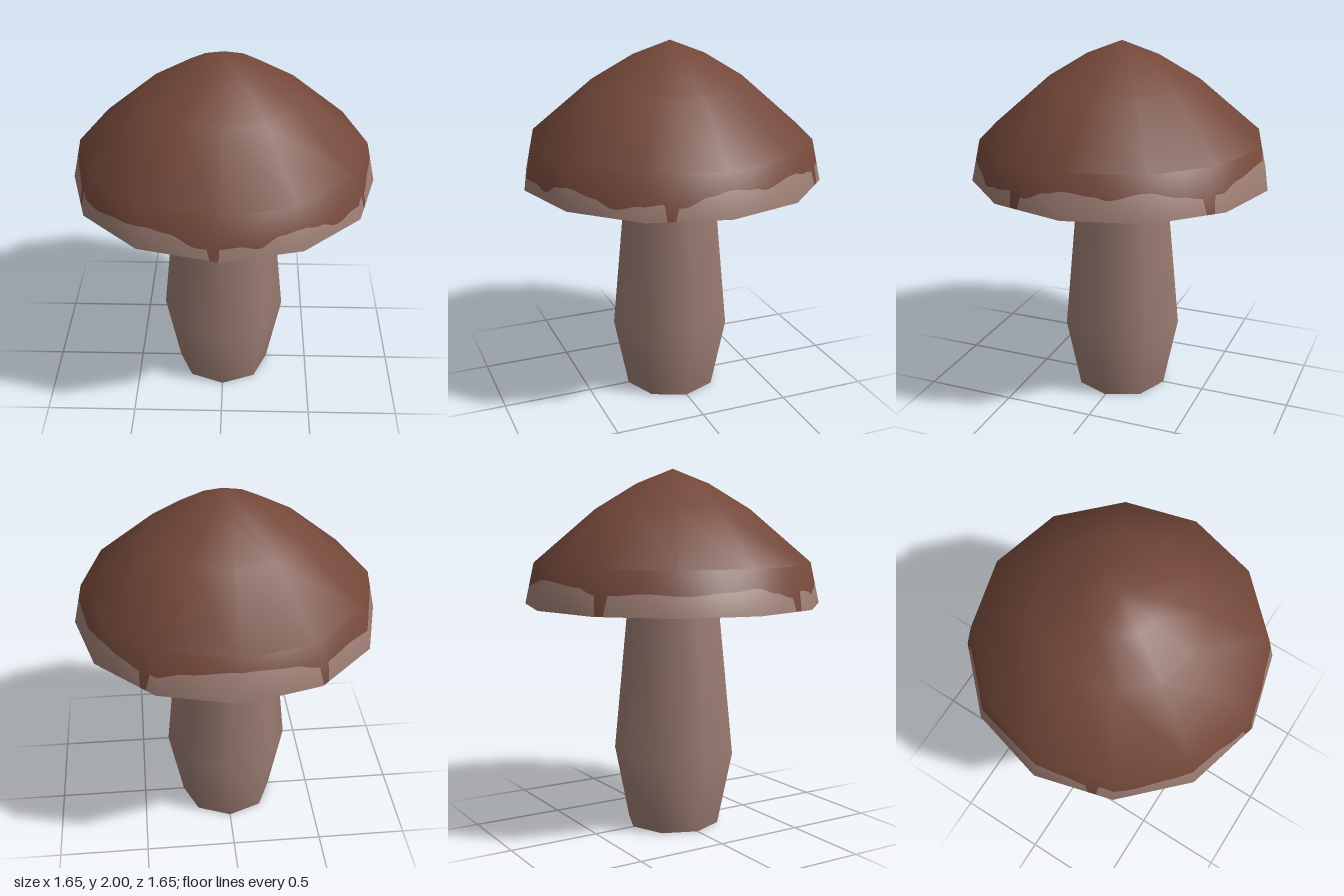
import * as THREE from 'three';

const SIDES = 12;
// cap outline from tip to rim: [radius, height]
const PROFILE = [[0, 2], [0.2, 1.92], [0.43, 1.78], [0.775, 1.485], [0.825, 1.257]];
// lower edge of the brown skin: [degrees from the front towards +x, height]
const EDGE = [
  [0, 1.32], [7, 1.32], [14, 1.30], [22, 1.35], [30, 1.37], [39, 1.34], [48, 1.30], [58, 1.33],
  [66, 1.34], [73, 1.32], [83, 1.37], [90, 1.395], [101, 1.375], [106, 1.36], [120, 1.40],
  [133, 1.36], [141, 1.34], [149, 1.35], [160, 1.38], [180, 1.415], [200, 1.39], [209, 1.36],
  [217, 1.36], [228, 1.37], [245, 1.36], [260, 1.375], [270, 1.39], [280, 1.36], [289, 1.33],
  [296, 1.36], [307, 1.33], [321, 1.35], [332, 1.375], [341, 1.36], [352, 1.31], [360, 1.32],
];
const DRIPS = [69, 144, 212, 292, 358];
const DRIP_HALF = 1.8;

// outline normals, averaged where two segments meet
const NORMALS = PROFILE.map((p, i) => {
  if (i === 0) return [0, 1];
  const n = new THREE.Vector2();
  for (const j of [i - 1, i]) {
    if (j + 1 >= PROFILE.length) continue;
    const [r0, y0] = PROFILE[j], [r1, y1] = PROFILE[j + 1];
    n.add(new THREE.Vector2(y0 - y1, r1 - r0).normalize());
  }
  n.normalize();
  return [n.x, n.y];
});

// interpolate an outline table at row s and angle deg, along the flat sides
function sample(table, s, deg) {
  const i = Math.min(Math.floor(s), table.length - 2), f = s - i;
  const r = THREE.MathUtils.lerp(table[i][0], table[i + 1][0], f);
  const y = THREE.MathUtils.lerp(table[i][1], table[i + 1][1], f);
  const step = 360 / SIDES, k = Math.floor(deg / step);
  const corner = (n) => {
    const a = THREE.MathUtils.degToRad(n * step);
    return new THREE.Vector3(r * Math.sin(a), y, r * Math.cos(a));
  };
  return corner(k).lerp(corner(k + 1), deg / step - k);
}

// ring of cap surface between two rows, each a function of the angle
function capRing(name, top, bottom, count, material) {
  const positions = [], normals = [], index = [];
  for (let j = 0; j <= count; j++) {
    const deg = (j * 360) / count;
    for (const s of [top(deg), bottom(deg)]) {
      positions.push(...sample(PROFILE, s, deg).toArray());
      normals.push(...sample(NORMALS, s, deg).normalize().toArray());
    }
    if (j < count) {
      const t = 2 * j;
      index.push(t, t + 1, t + 3, t, t + 3, t + 2);
    }
  }
  const geometry = new THREE.BufferGeometry();
  geometry.setAttribute('position', new THREE.Float32BufferAttribute(positions, 3));
  geometry.setAttribute('normal', new THREE.Float32BufferAttribute(normals, 3));
  geometry.setIndex(index);
  const mesh = new THREE.Mesh(geometry, material);
  mesh.name = name;
  return mesh;
}

// row of the brown edge at an angle, running down to the rim in each drip
function edgeRow(deg) {
  const i = Math.min(EDGE.findIndex((e) => e[0] > deg) - 1 + (deg >= 360 ? EDGE.length : 0), EDGE.length - 2);
  const [a0, y0] = EDGE[i], [a1, y1] = EDGE[i + 1];
  const y = THREE.MathUtils.lerp(y0, y1, THREE.MathUtils.smoothstep(deg, a0, a1));
  const upper = PROFILE[3][1], rim = PROFILE[4][1];
  const distance = Math.min(...DRIPS.map((d) => Math.abs(deg - d)));
  const keep = THREE.MathUtils.smoothstep(distance, DRIP_HALF - 0.4, DRIP_HALF + 0.8);
  return 3 + (upper - THREE.MathUtils.lerp(rim, y, keep)) / (upper - rim);
}

export function createModel() {
  const brown = new THREE.MeshStandardMaterial({ color: 0x74483a, side: THREE.DoubleSide });
  brown.name = 'cap brown';
  const pale = new THREE.MeshStandardMaterial({ color: 0x9a7b71, side: THREE.DoubleSide });
  pale.name = 'pale flesh';

  const model = new THREE.Group();
  model.name = 'mushroom';

  // hollow cap: dome, brown dripping skin and pale rim
  const cap = new THREE.Group();
  cap.name = 'cap';
  for (let i = 0; i < 3; i++) {
    cap.add(capRing('capDome' + (i + 1), () => i, () => i + 1, SIDES, brown));
  }
  cap.add(capRing('drippingSkin', () => 3, edgeRow, 720, brown));
  cap.add(capRing('paleRim', edgeRow, () => 4, 720, pale));
  model.add(cap);

  // eight-sided stem, widest low down, reaching into the cap
  const stem = new THREE.Group();
  stem.name = 'stem';
  const outline = [[0.262, 0], [0.345, 0.41], [0.23, 1.58]].map(([x, y]) => new THREE.Vector2(x, y));
  const shaft = new THREE.Mesh(new THREE.LatheGeometry(outline, 8), pale);
  shaft.name = 'stemShaft';
  const base = new THREE.Mesh(new THREE.CircleGeometry(0.262, 8).rotateX(Math.PI / 2), pale);
  base.name = 'stemBase';
  const top = new THREE.Mesh(new THREE.CircleGeometry(0.23, 8).rotateX(-Math.PI / 2), pale);
  top.name = 'stemTop';
  top.position.y = 1.58;
  stem.add(shaft, base, top);
  model.add(stem);

  return model;
}
